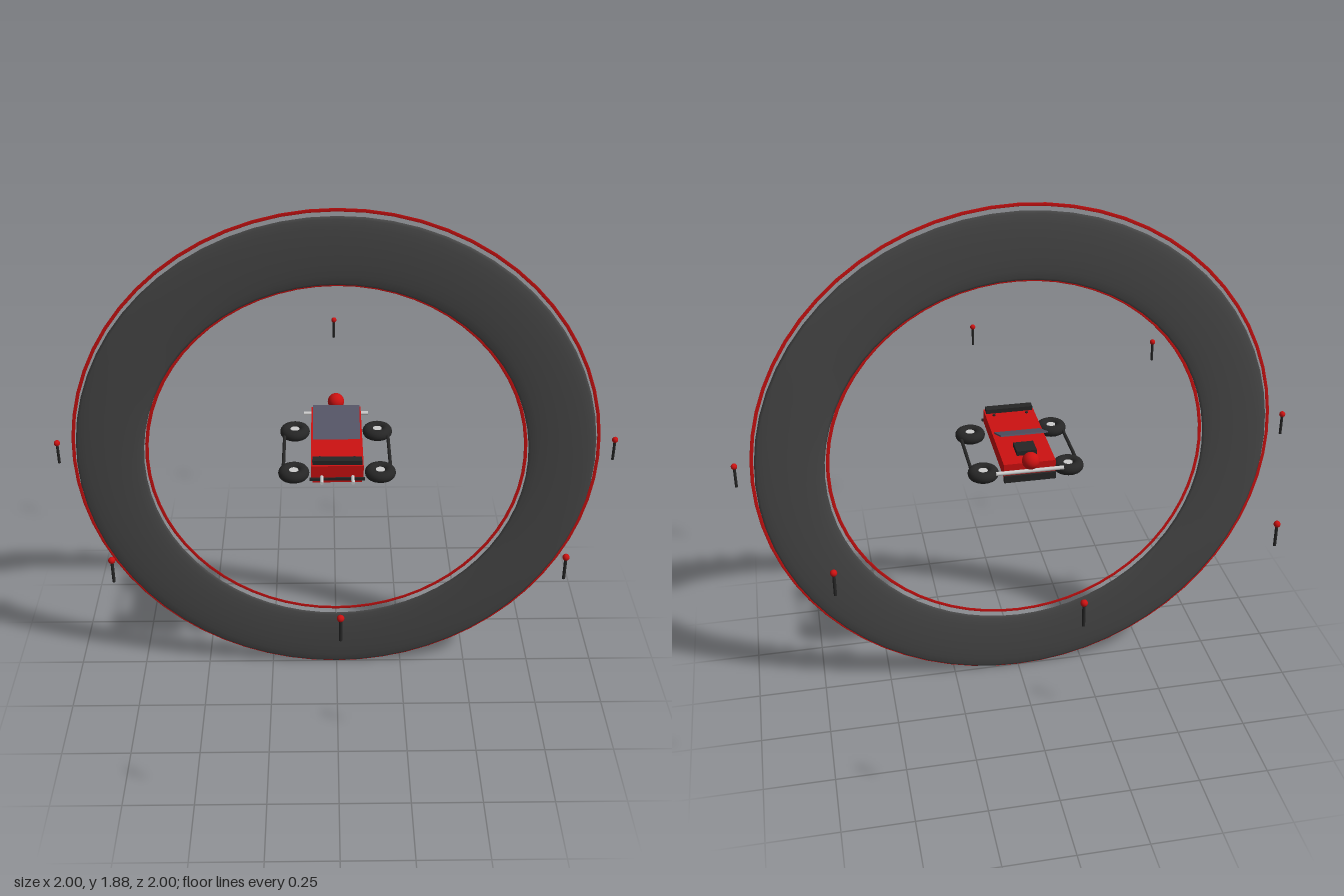
import * as THREE from 'three';

const paint = (color) => new THREE.MeshStandardMaterial({ color });

export function createModel() {
  const model = new THREE.Group();
  const red = paint(0xcc1111), black = paint(0x262626), ringGrey = paint(0x484848);
  const glass = paint(0x555566), steel = paint(0xcccccc);

  function add(name, geometry, material, x, y, z, parent = model) {
    const mesh = new THREE.Mesh(geometry, material);
    mesh.name = name;
    mesh.position.set(x, y, z);
    parent.add(mesh);
    return mesh;
  }
  const box = (w, h, d) => new THREE.BoxGeometry(w, h, d);
  const rod = (r, length) => new THREE.CylinderGeometry(r, r, length, 16);

  // Large upright ring, flattened front to back, with two thin trim hoops set slightly higher
  const hoop = (name, radius, tube, y, material) =>
    add(name, new THREE.TorusGeometry(radius, tube, 16, 64), material, 0, y, 0).scale.z = 0.09;
  hoop('mainRing', 0.805, 0.12, 0.934, ringGrey);
  hoop('outerTrim', 0.933, 0.006, 0.947, red);
  hoop('innerTrim', 0.674, 0.006, 0.948, red);

  // Circle of eight marker posts with round tips
  for (let i = 0; i < 8; i++) {
    const a = (i * Math.PI) / 4;
    const post = new THREE.Group();
    post.name = 'markerPost';
    post.position.set(Math.cos(a) * 0.988, 0, Math.sin(a) * 0.988);
    add('stem', rod(0.005, 0.08), black, 0, 0.977, 0, post);
    add('tip', new THREE.SphereGeometry(0.011, 16, 12), red, 0, 1.018, 0, post);
    model.add(post);
  }

  // Car body
  const car = new THREE.Group();
  car.name = 'car';
  model.add(car);
  add('body', box(0.18, 0.05, 0.41), red, 0, 1.017, -0.003, car);
  add('underbody', box(0.17, 0.02, 0.4), red, 0, 0.984, -0.003, car);
  add('windshield', box(0.165, 0.005, 0.152), glass, 0, 1.07, -0.044, car).rotation.x = 0.42;
  add('hoodBar', box(0.17, 0.016, 0.03), black, 0, 1.05, 0.18, car);
  add('seat', box(0.07, 0.018, 0.065), black, 0, 1.05, -0.123, car);
  add('rearBall', new THREE.SphereGeometry(0.03, 24, 16), red, 0, 1.057, -0.222, car);
  add('frontBumper', box(0.19, 0.01, 0.006), black, 0, 0.995, 0.209, car);
  add('rearPlate', box(0.18, 0.025, 0.012), black, 0, 0.987, -0.21, car);
  add('rearBumper', rod(0.007, 0.235), steel, 0, 1.012, -0.212, car).rotation.z = Math.PI / 2;

  // Mirrored side parts: front prongs, side rails and flat-lying wheels
  for (const s of [1, -1]) {
    add('frontProng', rod(0.006, 0.045), steel, s * 0.053, 1.0, 0.222, car).rotation.x = Math.PI / 2;
    add('hoodStud', rod(0.005, 0.006), black, s * 0.06, 1.043, 0.148, car);
    add('sideRail', rod(0.006, 0.28), black, s * 0.187, 0.978, 0, car).rotation.x = Math.PI / 2;
    for (const z of [0.14, -0.14]) {
      const wheel = new THREE.Group();
      wheel.name = 'wheel';
      wheel.position.set(s * 0.15, 0.978, z);
      add('tyre', new THREE.TorusGeometry(0.034, 0.02, 16, 32), black, 0, 0, 0, wheel).rotation.x = Math.PI / 2;
      add('hub', rod(0.016, 0.024), steel, 0, 0, 0, wheel);
      car.add(wheel);
    }
  }
  return model;
}
